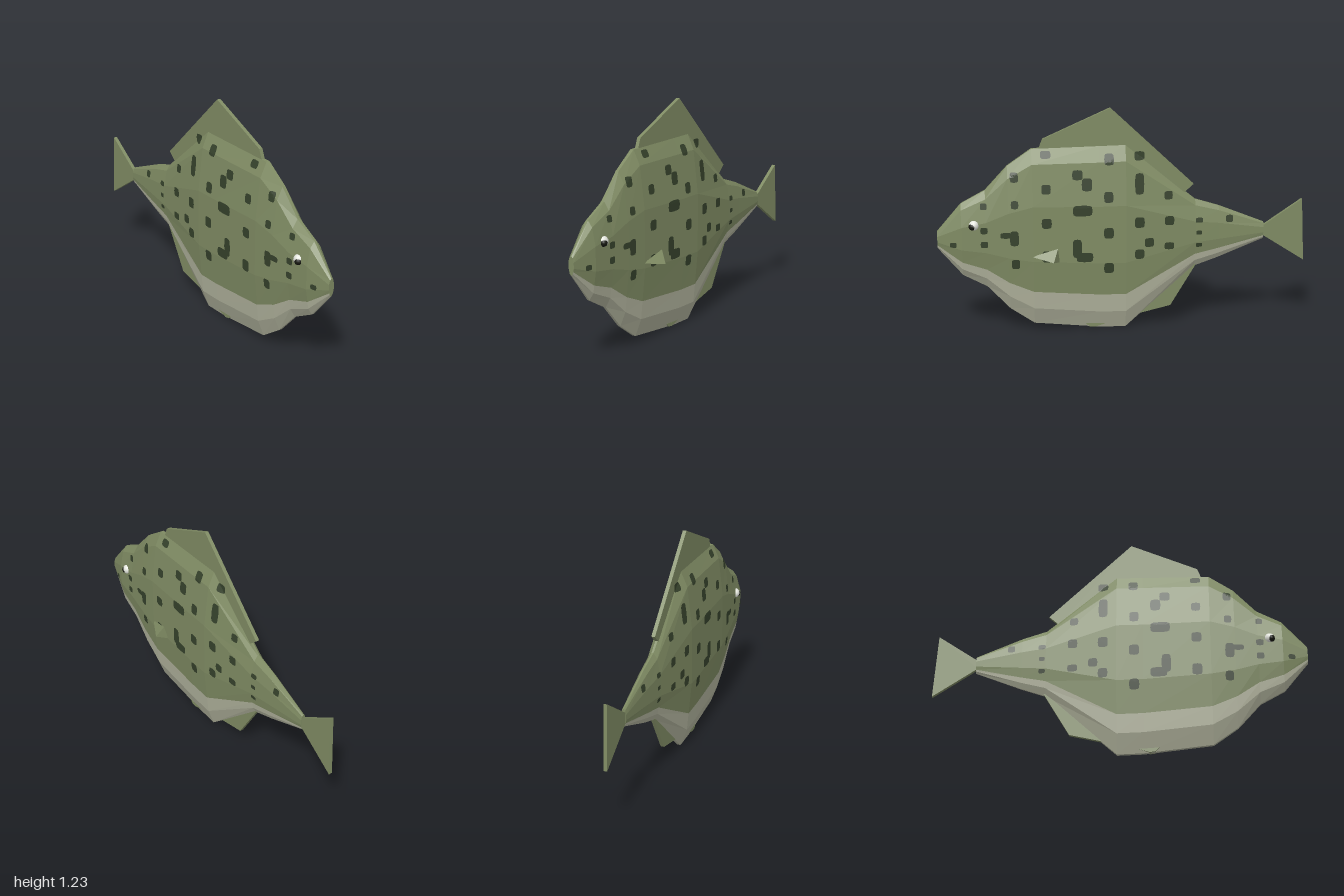
import * as THREE from 'three';
import { ConvexGeometry } from 'three/addons/geometries/ConvexGeometry.js';

const MID = 0.025; // z of the body's middle plane

// Body stations: x, bottom, top, half thickness
const STATIONS = [
  [-0.77, 0.485, 0.58, 0.014], [-0.52, 0.385, 0.68, 0.032], [-0.39, 0.34, 0.72, 0.042],
  [-0.01, 0, 1.03, 0.074], [0.13, 0.003, 1.027, 0.074], [0.49, 0.04, 1.02, 0.074],
  [0.62, 0.13, 0.93, 0.066], [0.74, 0.26, 0.8, 0.058], [0.87, 0.33, 0.73, 0.049],
  [1, 0.485, 0.58, 0.016],
];
// Cross-section from belly to back: height fraction, width fraction
const SECTION = [[0, 0.13], [0.1, 0.63], [0.2, 0.76], [0.38, 1], [0.69, 1], [0.92, 0.63], [1, 0.13]];

// Spots on both flanks: x, y, half width, half height
const SPOTS = [
  [-0.085, 0.97, 0.028, 0.024], [0.08, 0.96, 0.026, 0.03], [0.417, 0.99, 0.028, 0.02],
  [-0.082, 0.825, 0.025, 0.058], [0.25, 0.882, 0.028, 0.027], [0.2, 0.83, 0.028, 0.035],
  [0.417, 0.81, 0.025, 0.026], [0.585, 0.875, 0.022, 0.027], [-0.24, 0.755, 0.023, 0.023],
  [0.085, 0.76, 0.025, 0.03], [0.225, 0.69, 0.053, 0.03], [0.585, 0.73, 0.02, 0.022],
  [0.75, 0.72, 0.018, 0.018], [-0.245, 0.617, 0.026, 0.026], [-0.082, 0.615, 0.027, 0.03],
  [0.417, 0.625, 0.027, 0.028], [0.085, 0.562, 0.027, 0.03], [0.59, 0.545, 0.024, 0.042],
  [0.635, 0.562, 0.03, 0.016], [0.75, 0.59, 0.02, 0.018], [0.75, 0.513, 0.02, 0.018],
  [-0.135, 0.5, 0.025, 0.025], [-0.41, 0.61, 0.02, 0.014], [-0.41, 0.54, 0.016, 0.012],
  [-0.41, 0.47, 0.018, 0.012], [-0.578, 0.61, 0.02, 0.02], [-0.245, 0.475, 0.027, 0.02],
  [-0.082, 0.437, 0.026, 0.027], [0.255, 0.48, 0.025, 0.052], [0.215, 0.43, 0.045, 0.027],
  [0.417, 0.44, 0.027, 0.032], [0.585, 0.4, 0.022, 0.027], [0.085, 0.365, 0.027, 0.03],
  [0.915, 0.51, 0.018, 0.014],
];

// Piecewise linear lookup in rows keyed by their first column
function lookup(rows, key, column) {
  let i = 0;
  while (i < rows.length - 2 && key > rows[i + 1][0]) i++;
  const k = THREE.MathUtils.clamp((key - rows[i][0]) / (rows[i + 1][0] - rows[i][0]), 0, 1);
  return THREE.MathUtils.lerp(rows[i][column], rows[i + 1][column], k);
}

// Half thickness of the body at a point on its flank
function flank(x, y) {
  const low = lookup(STATIONS, x, 1), high = lookup(STATIONS, x, 2);
  return lookup(STATIONS, x, 3) * lookup(SECTION, (y - low) / (high - low), 1);
}

function flatGeometry(points) {
  const g = new THREE.BufferGeometry();
  g.setAttribute('position', new THREE.Float32BufferAttribute(points, 3));
  g.computeVertexNormals();
  return g;
}

function ringAt([x, low, high, half]) {
  const side = SECTION.map(([t, w]) => [x, low + (high - low) * t, MID + half * w]);
  const other = side.map(([px, py, pz]) => [px, py, 2 * MID - pz]).reverse();
  return [...side, ...other];
}

// Skin between the stations, split into back and belly
function bodyGeometries() {
  const back = [], belly = [], rings = STATIONS.map(ringAt), n = rings[0].length;
  for (let i = 0; i < rings.length - 1; i++) {
    for (let j = 0; j < n; j++) {
      const k = (j + 1) % n;
      const a = rings[i][j], b = rings[i + 1][j], c = rings[i + 1][k], d = rings[i][k];
      (j < 2 || j > n - 4 ? belly : back).push(...a, ...b, ...c, ...a, ...c, ...d);
    }
  }
  // End caps at the tail root and the mouth
  const first = rings[0], last = rings[rings.length - 1];
  for (let j = 1; j < n - 1; j++) {
    back.push(...first[0], ...first[j], ...first[j + 1]);
    back.push(...last[0], ...last[j + 1], ...last[j]);
  }
  return [flatGeometry(back), flatGeometry(belly)];
}

// Rounded patches that follow the flank
function spotsGeometry(side) {
  const out = [], steps = 12;
  for (const [x, y, rx, ry] of SPOTS) {
    const point = (i, r) => {
      const a = (i / steps) * Math.PI * 2, c = Math.cos(a), s = Math.sin(a);
      const px = x + rx * r * Math.sign(c) * Math.sqrt(Math.abs(c));
      const py = y + ry * r * Math.sign(s) * Math.sqrt(Math.abs(s));
      return [px, py, MID + side * (flank(px, py) + 0.004)];
    };
    const tri = (a, b, c) => out.push(...a, ...(side > 0 ? b : c), ...(side > 0 ? c : b));
    for (let i = 0; i < steps; i++) {
      tri(point(i, 0), point(i, 0.5), point(i + 1, 0.5));
      tri(point(i, 0.5), point(i, 1), point(i + 1, 1));
      tri(point(i, 0.5), point(i + 1, 1), point(i + 1, 0.5));
    }
  }
  return flatGeometry(out);
}

// Flat fin cut from an outline
function finGeometry(outline, thickness = 0.02) {
  const shape = new THREE.Shape(outline.map(([x, y]) => new THREE.Vector2(x, y)));
  const g = new THREE.ExtrudeGeometry(shape, { depth: thickness, bevelEnabled: false });
  return g.translate(0, 0, MID - thickness / 2);
}

export function createModel() {
  const model = new THREE.Group();
  model.name = 'flatfish';
  const material = (name, color) => {
    const m = new THREE.MeshStandardMaterial({ color });
    m.name = name;
    return m;
  };
  const green = material('olive green', 0x7f8b63);
  const pale = material('pale belly', 0xb0b29c);
  const dark = material('dark spots', 0x35412b);
  const white = material('eye white', 0xe4e6de);
  const black = material('pupil black', 0x15170f);
  const add = (name, geometry, mat) => {
    const mesh = new THREE.Mesh(geometry, mat);
    mesh.name = name;
    model.add(mesh);
    return mesh;
  };

  const [back, belly] = bodyGeometries();
  add('body', back, green);
  add('belly', belly, pale);

  // Fins along the middle plane
  add('dorsalFin', finGeometry([[-0.38, 0.805], [-0.33, 0.76], [-0.02, 0.98], [0.45, 0.98],
    [0.45, 1.02], [0.43, 1.07], [0.07, 1.23]]), green);
  add('tailFin', finGeometry([[-0.76, 0.51], [-0.76, 0.555], [-0.98, 0.705], [-1, 0.355]]), green);
  add('analFin', finGeometry([[-0.4, 0.35], [-0.26, 0.115], [-0.09, 0.075], [0, 0.1], [-0.2, 0.35]]), green);
  add('pelvicFin', finGeometry([[0.1, 0.025], [0.16, 0.006], [0.19, 0.01], [0.21, 0.03]], 0.036), green);

  // Small fin standing out from one flank
  add('pectoralFin', new ConvexGeometry([
    [0.5, 0.44, -0.045], [0.36, 0.487, -0.065], [0.385, 0.42, -0.104], [0.35, 0.405, -0.047],
  ].map((p) => new THREE.Vector3(...p))), green);

  for (const side of [1, -1]) {
    const label = side > 0 ? 'Front' : 'Back';
    add('spots' + label, spotsGeometry(side), dark);
    // Eye with a pupil set slightly forward
    add('eye' + label, new THREE.SphereGeometry(0.028, 12, 8), white)
      .position.set(0.803, 0.618, MID + side * 0.044);
    add('pupil' + label, new THREE.SphereGeometry(0.02, 12, 8), black)
      .position.set(0.811, 0.614, MID + side * 0.054);
  }
  return model;
}
